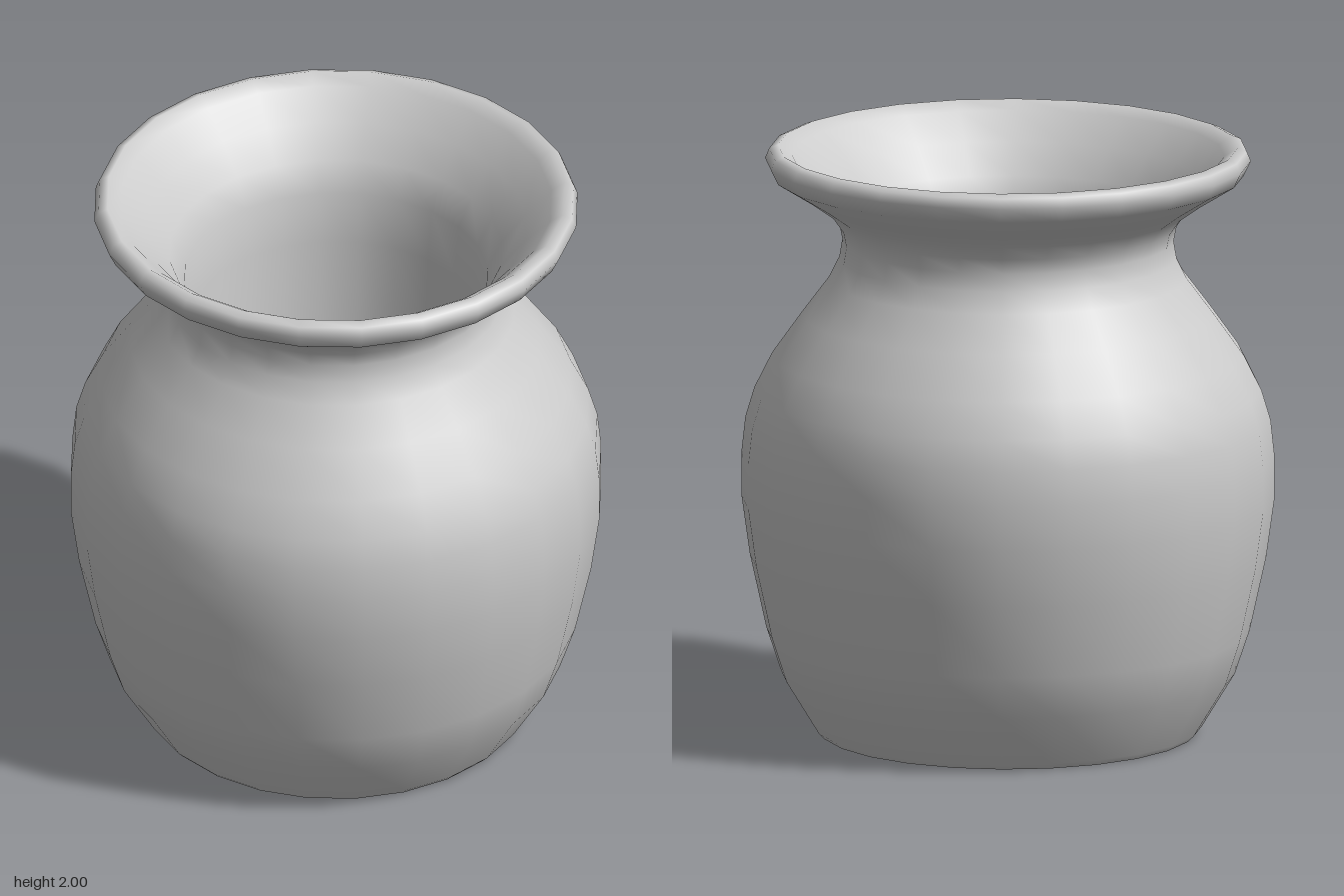
import * as THREE from 'three';

const SIDES = 24;
const material = new THREE.MeshStandardMaterial({ color: 0xcccccc });

// Turn a profile of [radius, height] pairs around the vertical axis.
function turned(name, profile) {
  const points = profile.map(([r, y]) => new THREE.Vector2(r, y));
  const mesh = new THREE.Mesh(new THREE.LatheGeometry(points, SIDES), material);
  mesh.name = name;
  return mesh;
}

export function createModel() {
  const vase = new THREE.Group();
  vase.name = 'vase';

  // One smooth wall: up the outside, over the lip and down the inside
  const outside = [
    [0.63, 0], [0.65, 0.02], [0.76, 0.2], [0.81, 0.35], [0.865, 0.6], [0.893, 0.8],
    [0.893, 0.95], [0.88, 1.07], [0.85, 1.17], [0.79, 1.29], [0.69, 1.43], [0.6, 1.55],
    [0.565, 1.62], [0.555, 1.68], [0.565, 1.73], [0.6, 1.78], [0.67, 1.83], [0.79, 1.905],
  ];
  const lip = [[0.814, 1.955], [0.8, 1.988], [0.77, 2], [0.725, 1.97]];
  const inside = [
    [0.64, 1.88], [0.56, 1.78], [0.51, 1.68], [0.49, 1.5], [0.475, 1.2],
    [0.455, 0.8], [0.43, 0.45], [0.36, 0.24], [0.2, 0.15], [0, 0.15],
  ];
  vase.add(turned('body', [...outside, ...lip, ...inside]));

  // Flat underside with a sharp edge
  vase.add(turned('base', [[0, 0], [0.63, 0]]));

  return vase;
}
